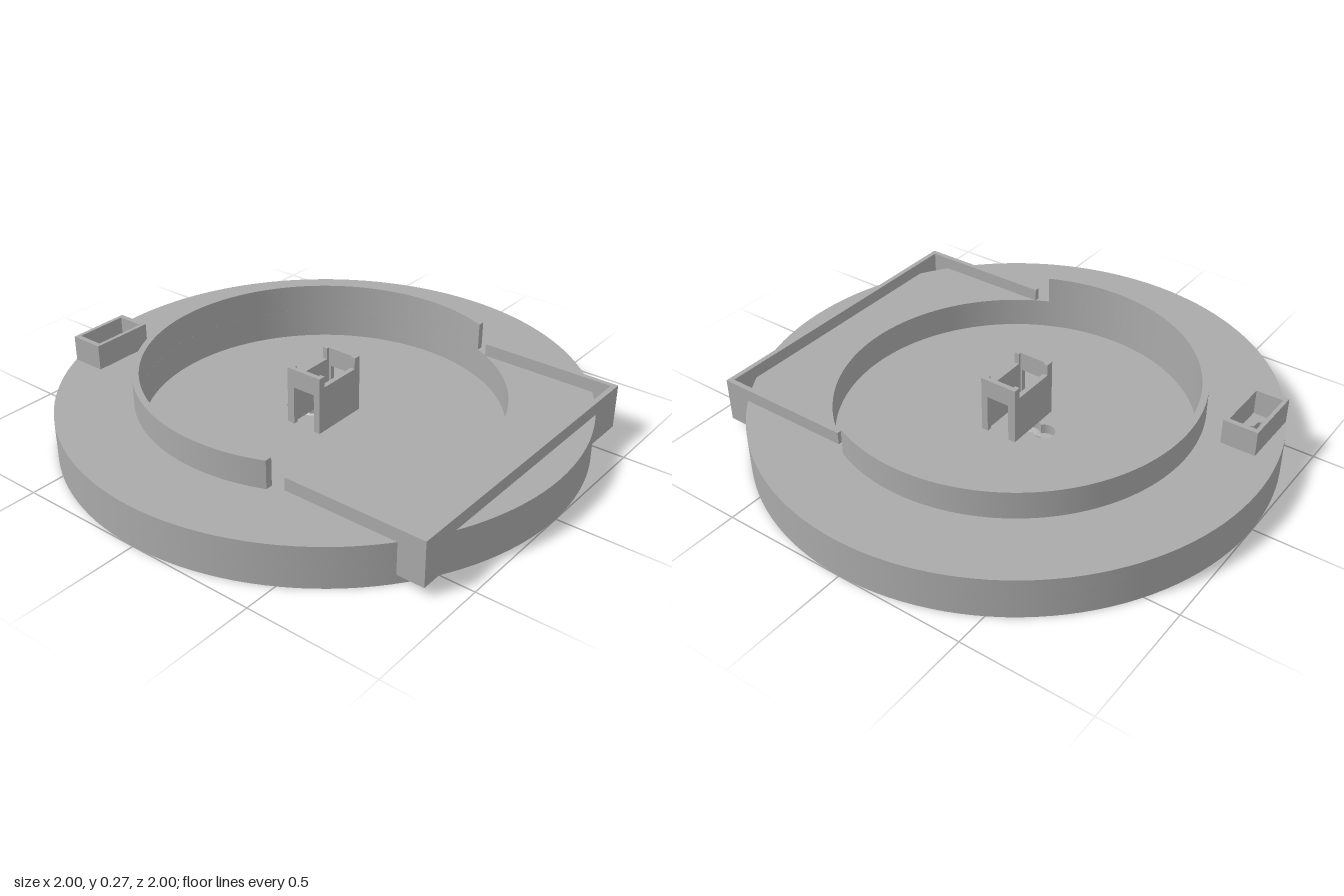
import * as THREE from 'three';
import { toCreasedNormals } from 'three/addons/utils/BufferGeometryUtils.js';

export function createModel() {
  const model = new THREE.Group();
  model.name = 'roundMount';
  const grey = new THREE.MeshStandardMaterial({ color: 0xaaaaaa });
  grey.name = 'plain grey';

  const add = (geometry, name, parent = model) => {
    const mesh = new THREE.Mesh(geometry, grey);
    mesh.name = name;
    parent.add(mesh);
    return mesh;
  };

  // Plan outlines are drawn in (x, -z) and raised from y0 to y1
  const raise = (shape, y0, y1) => {
    const g = new THREE.ExtrudeGeometry(shape, { depth: y1 - y0, bevelEnabled: false, curveSegments: 64 });
    g.rotateX(-Math.PI / 2);
    g.translate(0, y0, 0);
    return toCreasedNormals(g, 0.5);
  };
  const circle = (r, x = 0, z = 0, Type = THREE.Path) => new Type().absarc(x, -z, r, 0, Math.PI * 2, false);
  const polygon = (points, Type = THREE.Shape) => new Type(points.map(([a, b]) => new THREE.Vector2(a, b)));
  const rect = (x0, x1, z0, z1, Type = THREE.Shape) =>
    polygon([[x0, -z0], [x0, -z1], [x1, -z1], [x1, -z0]], Type);

  const R = 1, innerR = 0.685, floorY = 0.04, topY = 0.16;
  const slotX = -0.305, slotZ = -0.835, holeR = 0.038;

  // Thin floor with a keyhole of two overlapping circles and a small round hole
  const floor = circle(R, 0, 0, THREE.Shape);
  const t = Math.atan2(0.033, 0.026);
  const keyhole = new THREE.Path();
  keyhole.absarc(0, 0.13, 0.042, -t, Math.PI + t, false);
  keyhole.absarc(0, 0.064, 0.042, Math.PI - t, Math.PI * 2 + t, false);
  floor.holes.push(keyhole, circle(holeR, slotX, slotZ));
  add(raise(floor, 0, floorY), 'baseFloor');

  // Thick rim around the round recess
  const lower = circle(R, 0, 0, THREE.Shape);
  lower.holes.push(circle(innerR), circle(holeR, slotX, slotZ));
  add(raise(lower, floorY, 0.1), 'lowerRim');

  // Upper rim, where the small hole widens into a shallow slot
  const upper = circle(R, 0, 0, THREE.Shape);
  const h = 0.016, e = Math.asin(h / holeR);
  const slot = new THREE.Path();
  slot.absarc(slotX, -slotZ, holeR, e, Math.PI - e, false);
  slot.absarc(slotX - 0.052, -slotZ, h, Math.PI / 2, Math.PI * 1.5, false);
  slot.absarc(slotX, -slotZ, holeR, Math.PI + e, Math.PI * 2 - e, false);
  slot.absarc(slotX + 0.052, -slotZ, h, -Math.PI / 2, Math.PI / 2, false);
  upper.holes.push(circle(innerR), slot);
  add(raise(upper, 0.1, topY), 'upperRim');

  // Raised ring wall, open at the front
  const outerR = 0.71, cut = 0.28;
  const ao = Math.asin(cut / outerR), ai = Math.asin(cut / innerR);
  const ring = new THREE.Shape();
  ring.absarc(0, 0, outerR, -ao, Math.PI + ao, false);
  ring.absarc(0, 0, innerR, Math.PI + ai, -ai, true);
  add(raise(ring, topY, 0.27), 'ringWall');

  // U-shaped front fence
  const fence = polygon([
    [-0.62, -0.33], [-0.62, -0.89], [0.62, -0.89], [0.62, -0.33],
    [0.6, -0.33], [0.6, -0.87], [-0.6, -0.87], [-0.6, -0.33],
  ]);
  add(raise(fence, 0.035, 0.21), 'frontFence');

  // Small open box at the back
  const box = rect(-0.43, -0.18, -0.9, -0.765);
  box.holes.push(rect(-0.41, -0.2, -0.885, -0.78, THREE.Path));
  add(raise(box, topY, 0.26), 'rearBox');

  // Central holder: notched front and back walls, sides with doorways
  const holder = new THREE.Group();
  holder.name = 'centreHolder';
  model.add(holder);
  const wall = (points) =>
    new THREE.ExtrudeGeometry(polygon(points), { depth: 0.02, bevelEnabled: false });
  const top = 0.27, notchY = 0.225, doorY = 0.195;
  for (const [z, name] of [[0.052, 'holderFront'], [-0.08, 'holderBack']]) {
    const g = wall([
      [-0.12, floorY], [0.12, floorY], [0.12, top], [0.09, top],
      [0.09, notchY], [-0.09, notchY], [-0.09, top], [-0.12, top],
    ]);
    add(g, name, holder).position.z = z;
  }
  for (const [x, name] of [[0.1, 'holderLeft'], [-0.12, 'holderRight']]) {
    const g = wall([
      [-0.052, floorY], [-0.045, floorY], [-0.045, doorY], [0.05, doorY],
      [0.05, floorY], [0.06, floorY], [0.06, top], [-0.052, top],
    ]);
    g.rotateY(Math.PI / 2);
    add(g, name, holder).position.x = x;
  }

  return model;
}
